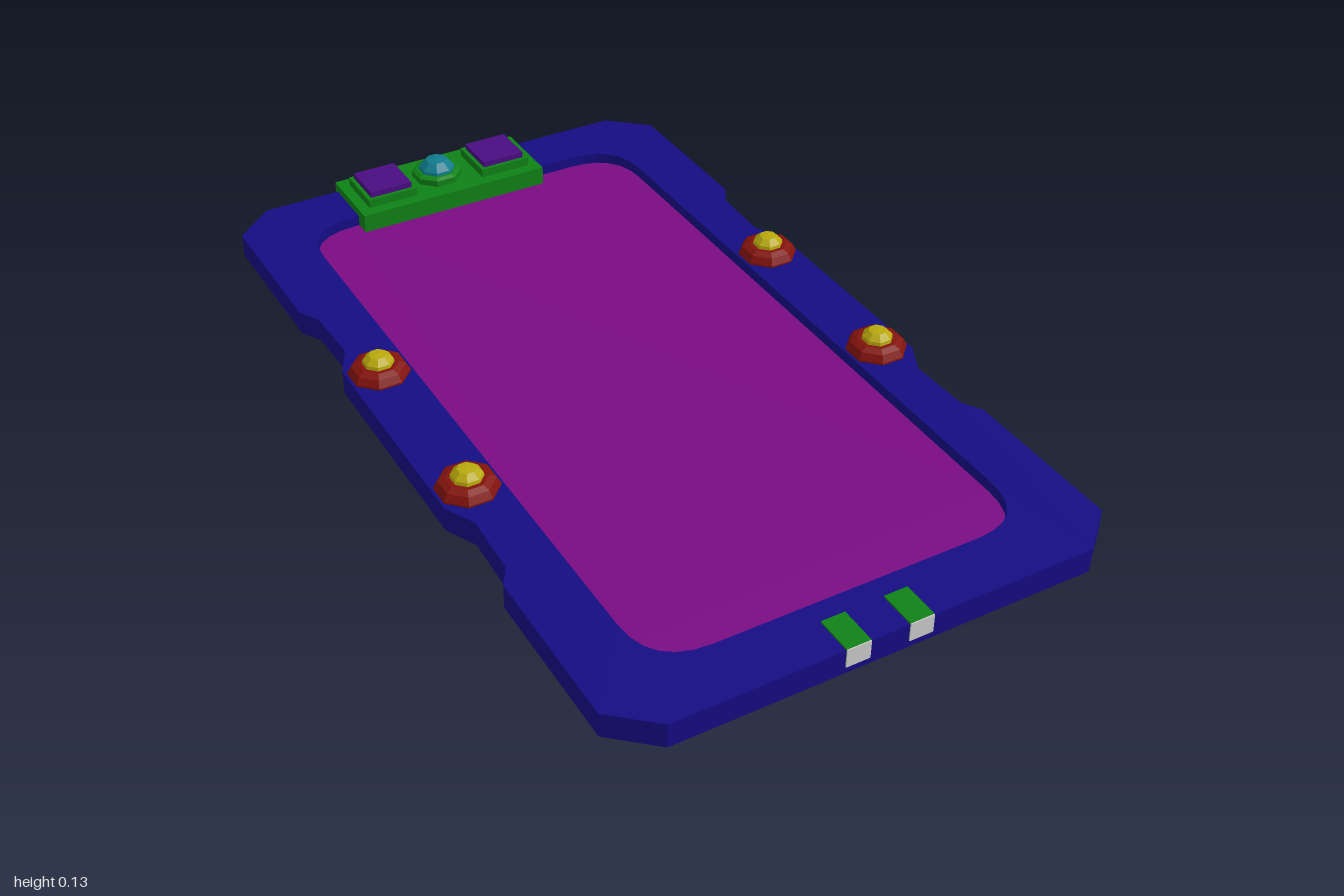
import * as THREE from 'three';

const mat = (color) => new THREE.MeshStandardMaterial({ color, flatShading: true });

export function createModel() {
  const model = new THREE.Group();
  const blue = mat(0x140c82), magenta = mat(0x7a0c82), green = mat(0x0f8216), purple = mat(0x4a0c82);
  const red = mat(0x82120c), yellow = mat(0xb8a80c), teal = mat(0x0f7a8c), grey = mat(0xcccccc);

  const add = (name, geometry, material, x, y, z, parent = model) => {
    const mesh = new THREE.Mesh(geometry, material);
    mesh.name = name;
    mesh.position.set(x, y, z);
    parent.add(mesh);
    return mesh;
  };
  // box given by its bottom height
  const box = (name, w, h, d, material, x, y, z, parent) =>
    add(name, new THREE.BoxGeometry(w, h, d), material, x, y + h / 2, z, parent);
  // faceted turned part
  const turned = (name, pts, sides, material, x, y, z, parent) =>
    add(name, new THREE.LatheGeometry(pts.map((p) => new THREE.Vector2(...p)), sides, Math.PI / 8), material, x, y, z, parent);
  // plan shape extruded upwards from height y
  const slab = (name, shape, y, h, material) => {
    const g = new THREE.ExtrudeGeometry(shape, { depth: h, bevelEnabled: false, curveSegments: 6 });
    g.rotateX(-Math.PI / 2);
    return add(name, g, material, 0, y, 0);
  };

  // Case outline: cut corners and shallow grips along both sides
  const side = [[0.475, -0.987], [0.568, -0.905], [0.567, -0.525], [0.54, -0.48], [0.535, -0.335], [0.57, -0.265]];
  const right = [...side, ...side.map(([x, z]) => [x, -z]).reverse()];
  const outline = [...right, ...right.map(([x, z]) => [-x, z]).reverse()].map((p) => new THREE.Vector2(...p));

  // Rounded screen opening
  const roundedRect = (target, w, h, r) => {
    target.moveTo(-w + r, -h);
    target.lineTo(w - r, -h).quadraticCurveTo(w, -h, w, -h + r);
    target.lineTo(w, h - r).quadraticCurveTo(w, h, w - r, h);
    target.lineTo(-w + r, h).quadraticCurveTo(-w, h, -w, h - r);
    target.lineTo(-w, -h + r).quadraticCurveTo(-w, -h, -w + r, -h);
    return target;
  };

  const floor = 0.035, top = 0.063;
  slab('backPlate', new THREE.Shape(outline), 0.006, floor - 0.006, blue);
  const rim = new THREE.Shape(outline);
  rim.holes.push(roundedRect(new THREE.Path(), 0.43, 0.853, 0.13));
  slab('rim', rim, floor, top - floor, blue);
  const screen = new THREE.ShapeGeometry(roundedRect(new THREE.Shape(), 0.43, 0.853, 0.13), 6);
  screen.rotateX(-Math.PI / 2);
  add('screen', screen, magenta, 0, floor + 0.002, 0);

  // Side studs
  for (const sx of [-1, 1]) {
    for (const sz of [-1, 1]) {
      const stud = new THREE.Group();
      stud.name = 'stud';
      stud.position.set(sx * 0.5, top, sz * 0.225);
      model.add(stud);
      turned('studBase', [[0.069, -0.005], [0.069, 0.004], [0.06, 0.02], [0.045, 0.027], [0, 0.027]], 8, red, 0, 0, 0, stud);
      turned('studCap', [[0.036, 0.025], [0.034, 0.035], [0.02, 0.048], [0, 0.05]], 8, yellow, 0, 0, 0, stud);
    }
  }

  // Sensor block clipped over the back edge
  const block = new THREE.Group();
  block.name = 'sensorBlock';
  block.position.set(-0.0425, 0, -0.907);
  model.add(block);
  box('blockBody', 0.487, 0.083, 0.186, green, 0, 0, 0, block);
  for (const s of [-1, 1]) {
    box('padBase', 0.128, 0.021, 0.128, green, s * 0.153, 0.083, 0, block);
    box('pad', 0.108, 0.014, 0.108, purple, s * 0.153, 0.104, 0, block);
  }
  turned('lensRing', [[0.062, 0.08], [0.062, 0.098], [0.052, 0.103], [0, 0.103]], 8, green, -0.005, 0, -0.005, block);
  turned('lens', [[0.046, 0.1], [0.044, 0.11], [0.026, 0.128], [0, 0.133]], 8, teal, -0.005, 0, -0.005, block);

  // Small front tabs with plain end faces
  for (const x of [-0.072, 0.07]) {
    box('tab', 0.054, 0.044, 0.085, green, x, 0.023, 0.945);
    box('tabEnd', 0.054, 0.043, 0.004, grey, x, 0.023, 0.988);
  }

  // Centre front to back: block reaches -1, tabs reach just short of 1
  return model;
}
